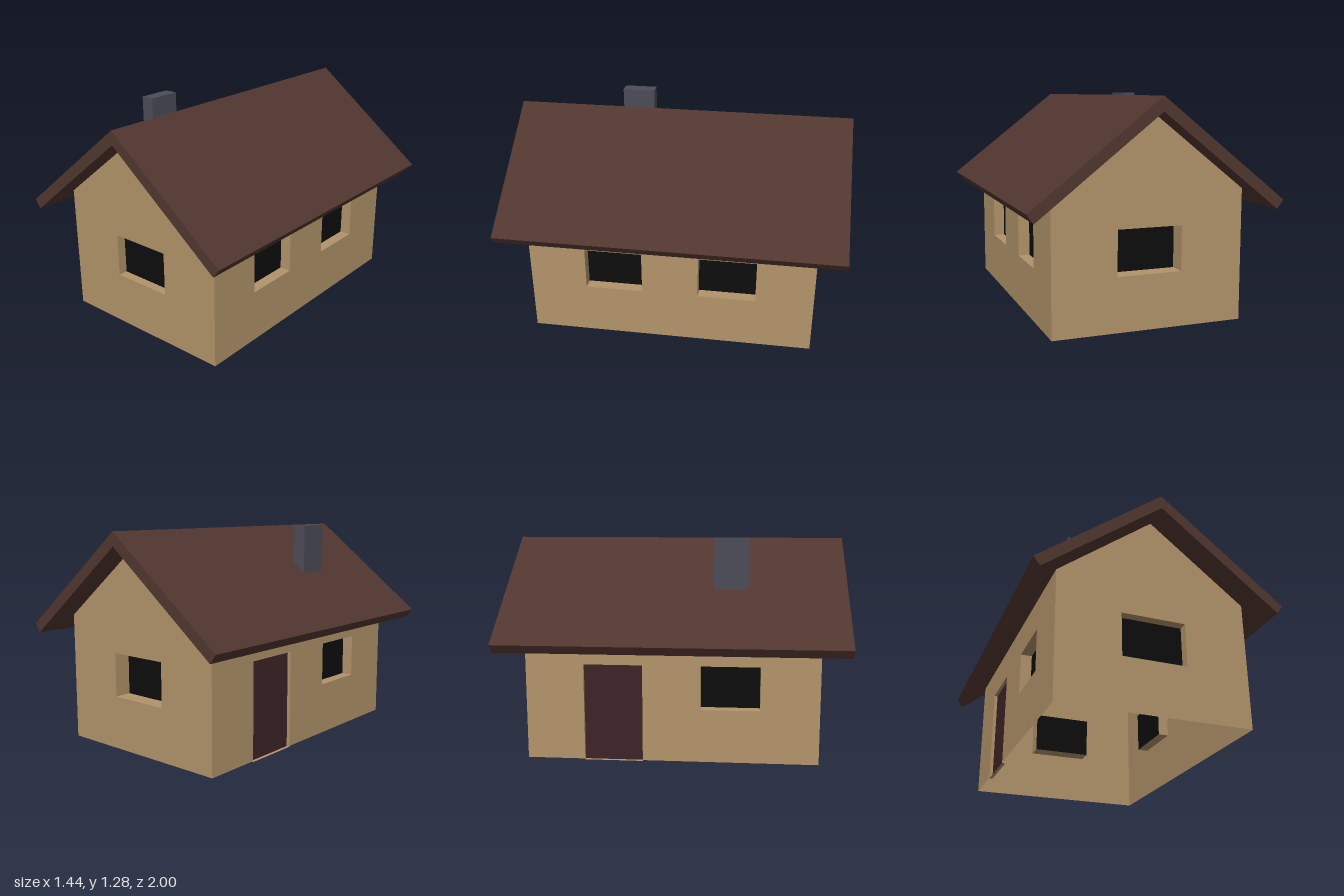
import * as THREE from 'three';
import { mergeGeometries } from 'three/addons/utils/BufferGeometryUtils.js';

const material = (color) => new THREE.MeshStandardMaterial({ color, flatShading: true, side: THREE.DoubleSide });

const HALF_W = 0.555, HALF_L = 0.845, BASE = 0.005, EAVE = 0.757, RIDGE = 1.19;
const SILL = 0.315, LINTEL = 0.57;

export function createModel() {
  const house = new THREE.Group();
  house.name = 'house';
  const wallMat = material(0xb2946a);
  const roofMat = material(0x50362f);
  const glassMat = material(0x0d0d0d);
  const doorMat = material(0x3c2328);
  const chimneyMat = material(0x4c4c57);

  const add = (parent, name, geometry, mat) => {
    const mesh = new THREE.Mesh(geometry, mat);
    mesh.name = name;
    parent.add(mesh);
    return mesh;
  };
  const toShape = (points) => new THREE.Shape(points.map(([x, y]) => new THREE.Vector2(x, y)));

  // A recessed panel with four reveal faces running back from the wall plane
  const addRecess = (wall, name, { x, y0, y1, w, depth }, mat) => {
    const h = y1 - y0, y = (y0 + y1) / 2;
    const sides = [];
    for (const s of [-1, 1]) {
      sides.push(new THREE.PlaneGeometry(depth, h).rotateY(-s * Math.PI / 2).translate(x + s * w / 2, y, -depth / 2));
      sides.push(new THREE.PlaneGeometry(w, depth).rotateX(s * Math.PI / 2).translate(x, y + s * h / 2, -depth / 2));
    }
    add(wall, name + 'Reveal', mergeGeometries(sides), wallMat);
    add(wall, name, new THREE.PlaneGeometry(w, h).translate(x, y, -depth), mat);
  };

  // A thin wall in its own plane, outside facing local +z, with recessed windows
  const addWall = (name, outline, windows, angle, distance) => {
    const wall = new THREE.Group();
    wall.name = name;
    const shape = toShape(outline);
    for (const { x, w } of windows) {
      const l = x - w / 2, r = x + w / 2;
      shape.holes.push(toShape([[l, SILL], [l, LINTEL], [r, LINTEL], [r, SILL]]));
    }
    add(wall, name + 'Panel', new THREE.ShapeGeometry(shape), wallMat);
    for (const win of windows) addRecess(wall, 'window', { y0: SILL, y1: LINTEL, ...win }, glassMat);
    wall.rotation.y = angle;
    wall.position.set(Math.sin(angle) * distance, 0, Math.cos(angle) * distance);
    house.add(wall);
    return wall;
  };

  // Gable walls
  const gable = [[-HALF_W, BASE], [HALF_W, BASE], [HALF_W, EAVE], [0, RIDGE], [-HALF_W, EAVE]];
  addWall('frontWall', gable, [{ x: 0, w: 0.374, depth: 0.055 }], 0, HALF_L);
  addWall('backWall', gable, [{ x: 0, w: 0.374, depth: 0.1 }], Math.PI, HALF_L);

  // Long walls: two windows on one side, a door and a window on the other
  const win = (x) => ({ x, w: 0.34, depth: 0.067 });
  addWall('rightWall',
    [[-HALF_L, BASE], [HALF_L, BASE], [HALF_L, EAVE], [-HALF_L, EAVE]],
    [win(-0.337), win(0.337)], Math.PI / 2, HALF_W);
  const doorWall = addWall('leftWall',
    [[-HALF_L, BASE], [-0.507, BASE], [-0.507, LINTEL], [-0.167, LINTEL], [-0.167, BASE],
      [HALF_L, BASE], [HALF_L, EAVE], [-HALF_L, EAVE]],
    [win(0.337)], -Math.PI / 2, HALF_W);
  addRecess(doorWall, 'door', { x: -0.337, y0: 0, y1: LINTEL, w: 0.34, depth: 0.02 }, doorMat);

  // Roof: a folded slab extruded along the ridge
  const roofShape = toShape([[0, 1.27], [-0.722, 0.706], [-0.685, 0.656], [0, RIDGE], [0.685, 0.656], [0.722, 0.706]]);
  const roof = new THREE.ExtrudeGeometry(roofShape, { depth: 2, bevelEnabled: false }).translate(0, 0, -1);
  add(house, 'roof', roof, roofMat);

  // Chimney rising through the roof slope
  add(house, 'chimney', new THREE.BoxGeometry(0.081, 0.31, 0.2), chimneyMat).position.set(-0.321, 1.125, 0.332);

  return house;
}
